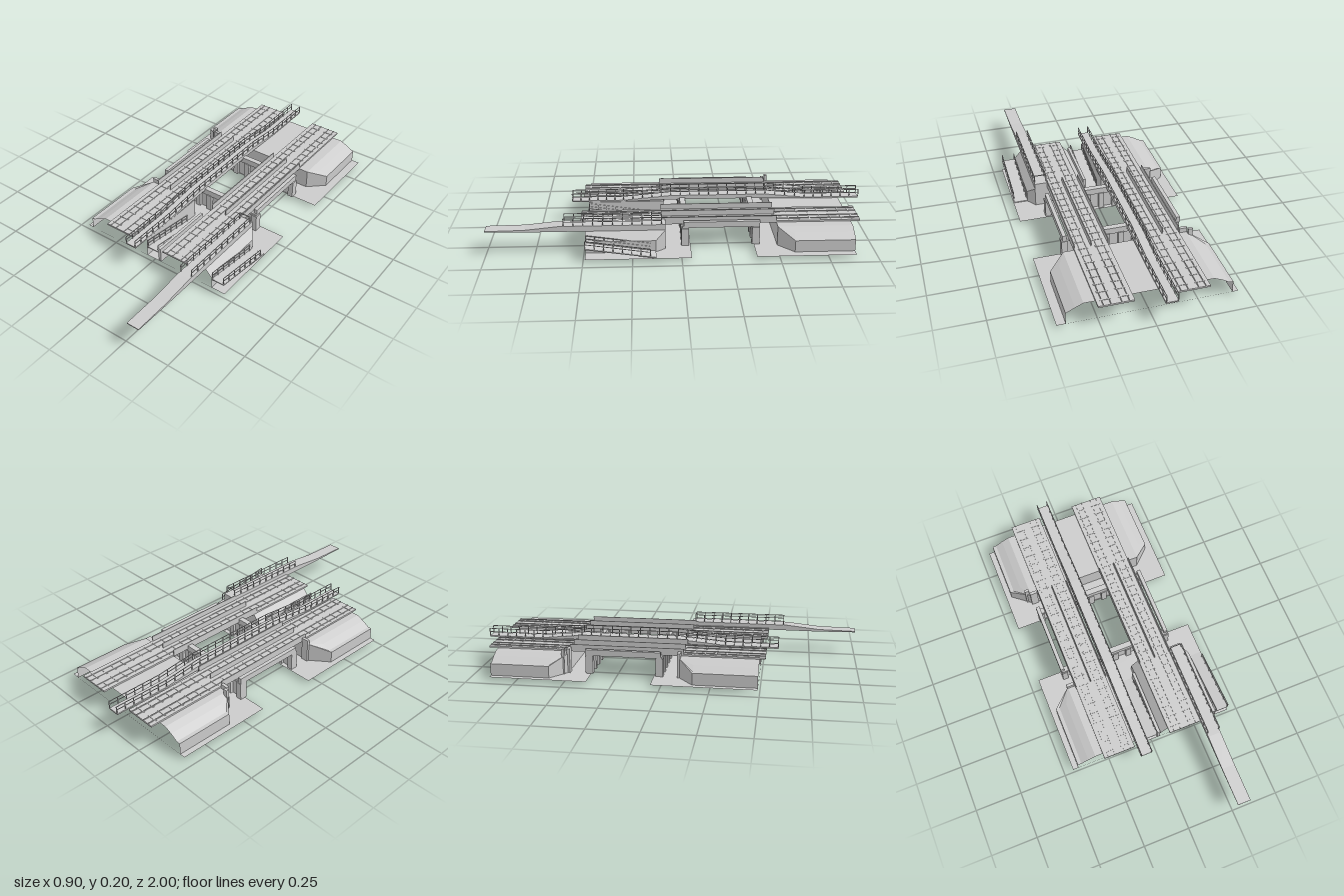
import * as THREE from 'three';

const mat = new THREE.MeshStandardMaterial({ color: 0xcccccc, flatShading: true, side: THREE.DoubleSide });
const G = 0.017; // ground level

export function createModel() {
  const root = new THREE.Group();
  const add = (name, geo) => {
    const m = new THREE.Mesh(geo, mat);
    m.name = name;
    root.add(m);
    return m;
  };
  // box given by its limits
  const box = (name, x0, x1, y0, y1, z0, z1) =>
    add(name, new THREE.BoxGeometry(x1 - x0, y1 - y0, z1 - z0))
      .position.set((x0 + x1) / 2, (y0 + y1) / 2, (z0 + z1) / 2);
  // side outline in (z, y) extruded from x0 to x1
  const slab = (name, pts, x0, x1) => {
    const shape = new THREE.Shape(pts.map(p => new THREE.Vector2(...p)));
    const geo = new THREE.ExtrudeGeometry(shape, { depth: x1 - x0, bevelEnabled: false });
    add(name, geo.rotateY(-Math.PI / 2).translate(x1, 0, 0));
  };
  // square bar between two points of a side plane
  const bar = (name, x, [z0, y0], [z1, y1], w = 0.004) => {
    const m = add(name, new THREE.BoxGeometry(w, w, Math.hypot(z1 - z0, y1 - y0)));
    m.position.set(x, (y0 + y1) / 2, (z0 + z1) / 2);
    m.rotation.x = -Math.atan2(y1 - y0, z1 - z0);
  };
  // railing following a floor line of (z, y) points
  const railing = (x, line, h = 0.04, step = 0.05) => {
    for (let i = 0; i < line.length - 1; i++) {
      const [a, b] = [line[i], line[i + 1]];
      for (const k of [0.55, 1]) bar('handrail', x, [a[0], a[1] + h * k], [b[0], b[1] + h * k], 0.003);
      const n = Math.max(1, Math.round(Math.abs(b[0] - a[0]) / step));
      for (let j = i ? 1 : 0; j <= n; j++) {
        const z = a[0] + (b[0] - a[0]) * j / n, y = a[1] + (b[1] - a[1]) * j / n;
        box('railingPost', x - 0.002, x + 0.002, y, y + h, z - 0.002, z + 0.002);
      }
    }
  };

  // hollow embankment: profile of (x, y) lofted over stations [z, xMin, xMax], closed at the last one
  const embankment = (name, profile, stations) => {
    const height = x => {
      for (let i = 1; i < profile.length; i++) {
        const [a, b] = [profile[i - 1], profile[i]];
        if (x <= b[0]) return a[1] + (b[1] - a[1]) * (x - a[0]) / (b[0] - a[0]);
      }
      return profile.at(-1)[1];
    };
    const pos = [], idx = [], n = profile.length + 2;
    for (const [z, lo, hi] of stations) {
      pos.push(lo, G, z);
      for (const [px] of profile) {
        const x = Math.min(hi, Math.max(lo, px));
        pos.push(x, height(x), z);
      }
      pos.push(hi, G, z);
    }
    const dir = Math.sign(stations[0][0]);
    const tri = (a, b, c) => dir > 0 ? idx.push(a, b, c) : idx.push(a, c, b);
    for (let s = 0; s < stations.length - 1; s++)
      for (let i = 0; i < n - 1; i++) {
        const a = s * n + i, c = a + n;
        tri(a, a + 1, c);
        tri(a + 1, c + 1, c);
      }
    const e = (stations.length - 1) * n;
    for (let i = 1; i < n - 1; i++) tri(e, e + i, e + i + 1);
    const geo = new THREE.BufferGeometry();
    geo.setAttribute('position', new THREE.Float32BufferAttribute(pos, 3));
    geo.setIndex(idx);
    const flat = geo.toNonIndexed();
    flat.computeVertexNormals();
    add(name, flat);
  };
  const leftSide = [[-0.42, 0.08], [-0.4, 0.081], [-0.36, 0.104], [-0.32, 0.122]];
  embankment('rearEmbankment', [...leftSide, [0.32, 0.122], [0.36, 0.104], [0.405, 0.08]],
    [[-0.89, -0.42, 0.405], [-0.58, -0.42, 0.405], [-0.5, -0.32, 0.32]]);
  embankment('frontLeftEmbankment', [...leftSide, [-0.04, 0.122]],
    [[0.49, -0.42, -0.04], [0.16, -0.42, -0.04], [0.08, -0.32, -0.04]]);
  embankment('frontRightEmbankment', [[0.05, 0.075], [0.09, 0.122], [0.335, 0.122], [0.372, 0.08]],
    [[0.49, 0.05, 0.372], [0.13, 0.05, 0.372], [0.08, 0.05, 0.335]]);

  // ground sheets, open beneath the hollow embankments (shape y is -z)
  const ground = (name, z0, z1, holes) => {
    const poly = pts => pts.map(([x, z]) => new THREE.Vector2(x, -z));
    const s = new THREE.Shape(poly([[-0.45, z0], [0.45, z0], [0.45, z1], [-0.45, z1]]));
    for (const h of holes) s.holes.push(new THREE.Path(poly(h)));
    add(name, new THREE.ShapeGeometry(s).rotateX(-Math.PI / 2).translate(0, G, 0));
  };
  ground('rearGround', -0.89, -0.38,
    [[[-0.42, -0.889], [-0.42, -0.58], [-0.32, -0.5], [0.32, -0.5], [0.405, -0.58], [0.405, -0.889]]]);
  ground('frontGround', -0.05, 0.49, [
    [[-0.42, 0.489], [-0.42, 0.16], [-0.32, 0.08], [-0.04, 0.08], [-0.04, 0.489]],
    [[0.05, 0.489], [0.05, 0.08], [0.335, 0.08], [0.372, 0.13], [0.372, 0.489]]]);

  // two track decks with sleepers, rails and upright girder plates over the span
  for (const [x0, x1] of [[-0.28, -0.11], [0.09, 0.265]]) {
    box('trackDeck', x0, x1, 0.122, 0.131, -0.94, 0.52);
    const mid = (x0 + x1) / 2;
    for (const x of [x0, mid, x1]) box('girderPlate', x - 0.0025, x + 0.0025, 0.122, 0.16, -0.5, 0.1);
    for (const c of [mid - 0.044, mid + 0.044]) {
      for (let i = 0; i < 26; i++) {
        const z = -0.9 + i * 0.0555;
        box('sleeper', c - 0.027, c + 0.027, 0.131, 0.133, z - 0.004, z + 0.004);
      }
      for (const s of [-1, 1])
        box('rail', c + s * 0.018 - 0.002, c + s * 0.018 + 0.002, 0.131, 0.135, -0.94, 0.52);
    }
  }

  // two rows of piers carrying the span
  for (const z of [-0.39, -0.022]) {
    box('pierWall', -0.3, 0.28, G, 0.105, z - 0.004, z + 0.004);
    for (let i = 0; i < 9; i++) {
      const x = -0.305 + i * 0.0745;
      box('pierColumn', x - 0.015, x + 0.015, G, 0.112, z - 0.02, z + 0.02);
    }
    box('pierCap', -0.32, 0.3, 0.108, 0.122, z - 0.015, z + 0.015);
    box('middleCrossBeam', -0.04, 0.09, 0.115, 0.142, z - 0.015, z + 0.015);
  }
  for (const x of [-0.313, 0.291]) box('sideBeam', x - 0.01, x + 0.01, 0.115, 0.147, -0.41, -0.015);
  for (const z of [-0.5, 0.08]) box('abutmentPost', -0.325, -0.285, G, 0.147, z - 0.008, z + 0.008);
  box('abutmentEndPost', -0.348, -0.325, G, 0.152, -0.53, -0.515);

  // centre walkway, humped over the span
  const floor = [[-1, 0.132], [-0.7, 0.132], [-0.48, 0.155], [0.04, 0.155], [0.3, 0.132], [0.58, 0.132]];
  slab('centreWalkway', [...floor, [0.58, 0.125], [0.3, 0.125], [0.04, 0.132], [-0.48, 0.132], [-0.7, 0.125], [-1, 0.125]],
    -0.1, -0.038);
  for (const x of [-0.098, -0.04]) railing(x, floor);
  for (const z of [-0.68, 0.27]) box('walkwaySupport', -0.09, -0.05, 0, 0.126, z - 0.005, z + 0.005);

  // side walkway with a long approach slope
  slab('sideWalkway', [[0.08, 0.152], [0.62, 0.152], [0.8, 0.134], [1, 0.131], [1, 0.126], [0.8, 0.122], [0.08, 0.122]],
    0.265, 0.335);
  for (const x of [0.268, 0.332]) railing(x, [[0.1, 0.152], [0.6, 0.152]]);
  box('endHandrail', 0.268, 0.332, 0.19, 0.194, 0.098, 0.102);

  // low ramps, one beside the embankment and one in the cutting
  for (const [x0, x1] of [[0.372, 0.445], [-0.037, 0.035]]) {
    slab('lowRamp', [[0.13, G], [0.49, 0.07], [0.49, 0.076], [0.13, 0.022]], x0, x1);
    for (const x of [x0 + 0.003, x1 - 0.003]) railing(x, [[0.16, 0.027], [0.487, 0.076]]);
  }
  box('cuttingWall', 0.035, 0.05, G, 0.1, 0.13, 0.49);
  return root;
}
